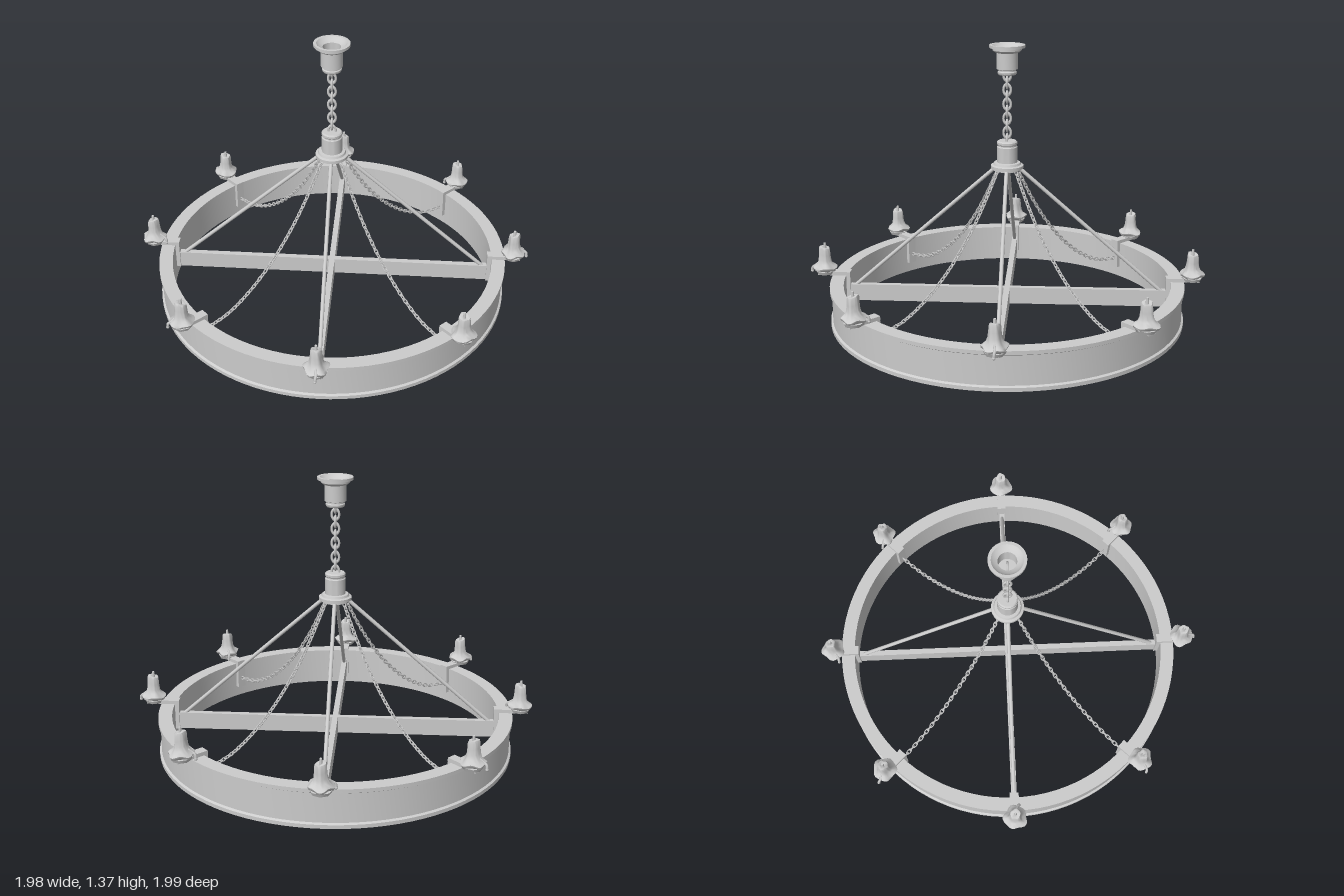
import * as THREE from 'three';
import { mergeGeometries, toCreasedNormals } from 'three/addons/utils/BufferGeometryUtils.js';

const material = new THREE.MeshStandardMaterial({ color: 0xcccccc });
const UP = new THREE.Vector3(0, 1, 0);
const V = (x, y, z) => new THREE.Vector3(x, y, z);

function add(parent, name, geometry, x = 0, y = 0, z = 0) {
  const mesh = new THREE.Mesh(geometry, material);
  mesh.name = name;
  mesh.position.set(x, y, z);
  parent.add(mesh);
  return mesh;
}

// Turned part with crisp edges; points are [radius, y]
function lathe(points, segments) {
  const g = new THREE.LatheGeometry(points.map(p => new THREE.Vector2(p[0], p[1])), segments);
  return toCreasedNormals(g, 0.6);
}

// Oval links following a curve, each turned a quarter against the last
function chain(curve, count, halfWidth, halfLength, wire, sides, steps) {
  const link = new THREE.TorusGeometry(halfWidth, wire, sides, steps);
  link.scale(1, halfLength / halfWidth, 1);
  const links = [];
  for (let i = 0; i < count; i++) {
    const u = (i + 0.5) / count;
    const q = new THREE.Quaternion().setFromUnitVectors(UP, curve.getTangentAt(u));
    q.multiply(new THREE.Quaternion().setFromAxisAngle(UP, (i % 2) * Math.PI / 2));
    links.push(link.clone().applyMatrix4(
      new THREE.Matrix4().compose(curve.getPointAt(u), q, V(1, 1, 1))));
  }
  return mergeGeometries(links);
}

// Melted candle: a turned profile whose skirt is pushed into uneven folds
function waxGeometry() {
  const profile = [[0.001, 0.212], [0.04, 0.212], [0.056, 0.22], [0.059, 0.23], [0.05, 0.238],
    [0.037, 0.25], [0.031, 0.268], [0.028, 0.295], [0.027, 0.322], [0.024, 0.333],
    [0.016, 0.335], [0.001, 0.328]];
  const g = new THREE.LatheGeometry(profile.map(p => new THREE.Vector2(p[0], p[1])), 28);
  const pos = g.attributes.position;
  for (let i = 0; i < pos.count; i++) {
    const x = pos.getX(i), y = pos.getY(i), z = pos.getZ(i);
    const a = Math.atan2(x, z);
    const fold = 1 + 0.07 * Math.sin(5 * a + 20 * y) + 0.05 * Math.sin(3 * a + 1);
    const slump = y > 0.25 ? 0.006 * Math.cos(a) : 0.005 * Math.sin(4 * a + 0.5) * Math.min(1, x * x + z * z > 0.002 ? 1 : 0);
    pos.setXYZ(i, x * fold, y + slump, z * fold);
  }
  return toCreasedNormals(g, 1);
}

export function createModel() {
  const model = new THREE.Group();
  model.name = 'ringChandelier';
  const body = new THREE.Group();
  body.name = 'chandelier';
  body.position.set(-0.007, 0, -0.008);
  model.add(body);

  // Wide hoop with a lip along both edges
  add(body, 'hoop', lathe([[0.815, 0], [0.883, 0], [0.883, 0.018], [0.873, 0.024], [0.873, 0.166],
    [0.883, 0.172], [0.883, 0.19], [0.815, 0.19], [0.815, 0]], 96));

  // Crossed beams inside the hoop
  add(body, 'crossBeamX', new THREE.BoxGeometry(1.6, 0.085, 0.028), 0, 0.098, 0);
  add(body, 'crossBeamZ', new THREE.BoxGeometry(0.028, 0.085, 1.6), 0, 0.098, 0);

  // Hub that the rods and chains hang from
  add(body, 'hub', lathe([[0, 0.752], [0.068, 0.752], [0.068, 0.76], [0.08, 0.762], [0.08, 0.776],
    [0.068, 0.78], [0.064, 0.79], [0.05, 0.792], [0.05, 0.868], [0.046, 0.872], [0.046, 0.878],
    [0.05, 0.882], [0.05, 0.892], [0.044, 0.898], [0, 0.898]], 32));

  // Ceiling cup, open at the top
  add(body, 'ceilingCup', lathe([[0, 1.222], [0.042, 1.222], [0.046, 1.228], [0.046, 1.236],
    [0.042, 1.24], [0.042, 1.246], [0.052, 1.25], [0.052, 1.328], [0.062, 1.332], [0.07, 1.34],
    [0.07, 1.35], [0.086, 1.352], [0.086, 1.365], [0.072, 1.365], [0.06, 1.352], [0.043, 1.345],
    [0.043, 1.27], [0, 1.27]], 32));

  // Heavy chain between cup and hub
  const drop = new THREE.LineCurve3(V(0, 0.885, 0), V(0, 1.235, 0));
  add(body, 'mainChain', chain(drop, 10, 0.018, 0.026, 0.006, 8, 16));
  const eye = add(body, 'cupEye', new THREE.TorusGeometry(0.02, 0.005, 6, 16), 0, 1.285, 0);
  eye.scale.y = 1.2;

  // Shared parts for the eight spokes
  const wax = waxGeometry();
  const wick = new THREE.CylinderGeometry(0.006, 0.008, 0.03, 8);
  const plate = new THREE.CylinderGeometry(0.052, 0.045, 0.016, 8);
  const drip = new THREE.TubeGeometry(new THREE.CatmullRomCurve3([V(0, 0.25, 0.032),
    V(0.004, 0.236, 0.052), V(0.002, 0.226, 0.066), V(0, 0.206, 0.069)]), 10, 0.007, 6);
  const dripTip = new THREE.SphereGeometry(0.008, 8, 6);
  const sag = new THREE.CatmullRomCurve3([V(0, 0.757, 0.06), V(0, 0.58, 0.165),
    V(0, 0.44, 0.265), V(0, 0.3, 0.395), V(0, 0.195, 0.53), V(0, 0.13, 0.66), V(0, 0.105, 0.795)]);
  const sagChain = chain(sag, 44, 0.0085, 0.016, 0.003, 5, 10);
  const rodTop = V(0, 0.765, 0.055), rodEnd = V(0, 0.13, 0.775);
  const rod = new THREE.TubeGeometry(new THREE.LineCurve3(rodTop, rodEnd), 1, 0.0095, 10);
  const turns = [0, 2.6, 0, 2.2, 2, 0.3, 2.8, -0.4];

  for (let i = 0; i < 8; i++) {
    const spoke = new THREE.Group();
    spoke.name = 'spoke' + (i + 1);
    spoke.rotation.y = i * Math.PI / 4;
    body.add(spoke);

    // Straight rods on the beams, slack chains between them
    if (i % 2 === 0) add(spoke, 'rod', rod);
    else add(spoke, 'slackChain', sagChain);

    // Bracket hooked over the hoop
    add(spoke, 'bracketStrip', new THREE.BoxGeometry(0.045, 0.15, 0.022), 0, 0.13, 0.805);
    add(spoke, 'bracketArm', new THREE.BoxGeometry(0.045, 0.018, 0.165), 0, 0.199, 0.876);
    add(spoke, 'candlePlate', plate, 0, 0.204, 0.922);

    // Candle with one long run of wax
    const candle = new THREE.Group();
    candle.name = 'candle';
    candle.position.z = 0.922;
    candle.rotation.y = turns[i];
    spoke.add(candle);
    add(candle, 'wax', wax);
    add(candle, 'wick', wick, 0, 0.341, 0);
    add(candle, 'waxDrip', drip);
    add(candle, 'waxDripTip', dripTip, 0, 0.206, 0.069);
  }
  return model;
}
